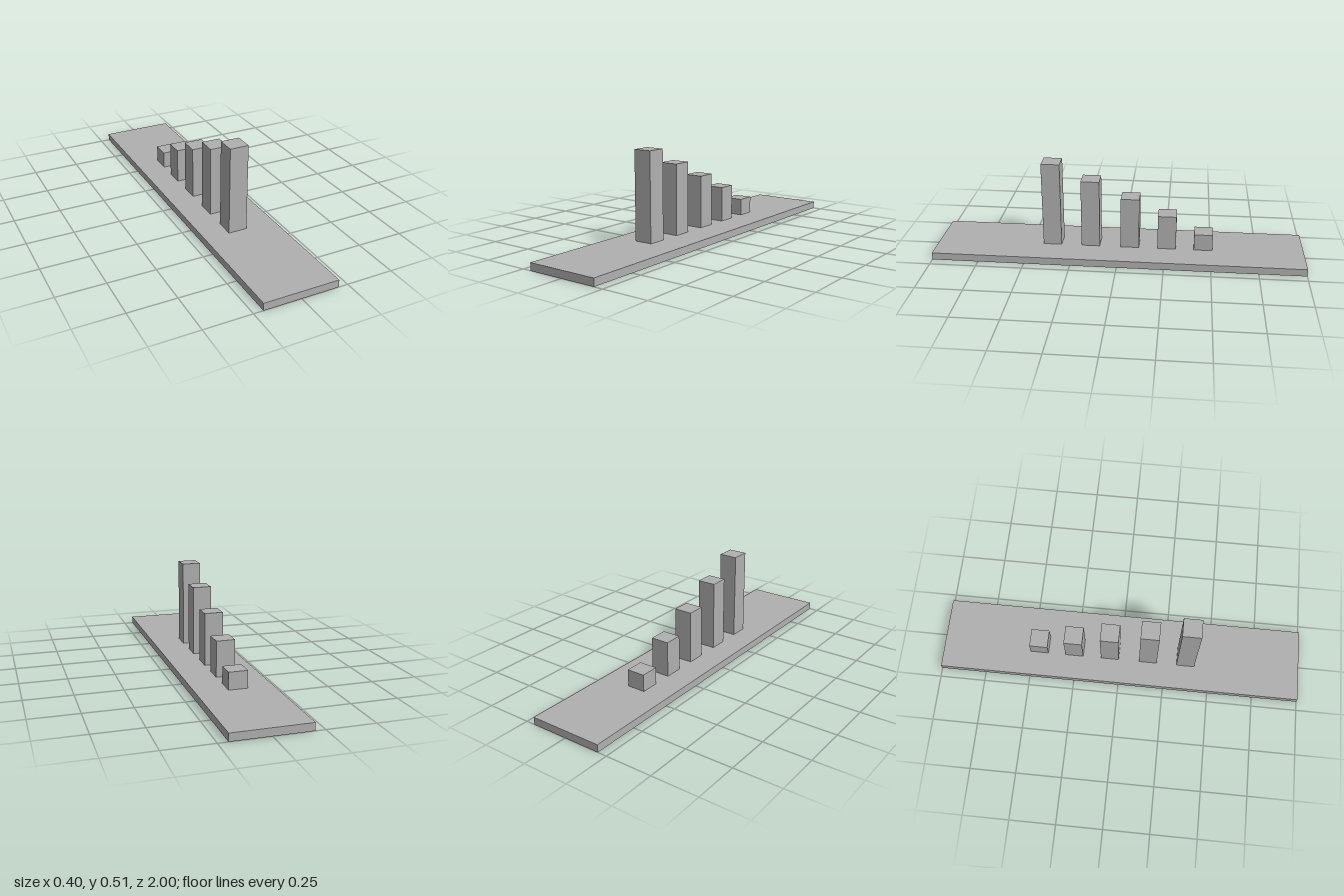
import * as THREE from 'three';

export function createModel() {
  const model = new THREE.Group();
  const grey = new THREE.MeshStandardMaterial({ color: 0xb0b0b0 });
  grey.name = 'grey';

  const addBox = (name, w, h, d, x, bottom, z) => {
    const mesh = new THREE.Mesh(new THREE.BoxGeometry(w, h, d), grey);
    mesh.name = name;
    mesh.position.set(x, bottom + h / 2, z);
    model.add(mesh);
  };

  // Long flat base
  const baseHeight = 0.04;
  addBox('base', 0.4, baseHeight, 2, 0, 0, 0);

  // Row of square posts stepping down towards the back: [z, top]
  const posts = [[0.367, 0.51], [0.156, 0.418], [-0.059, 0.325], [-0.26, 0.232], [-0.458, 0.132]];
  posts.forEach(([z, top], i) => {
    addBox(`post${i + 1}`, 0.1, top - baseHeight, 0.1, -0.015, baseHeight, z);
  });

  return model;
}
